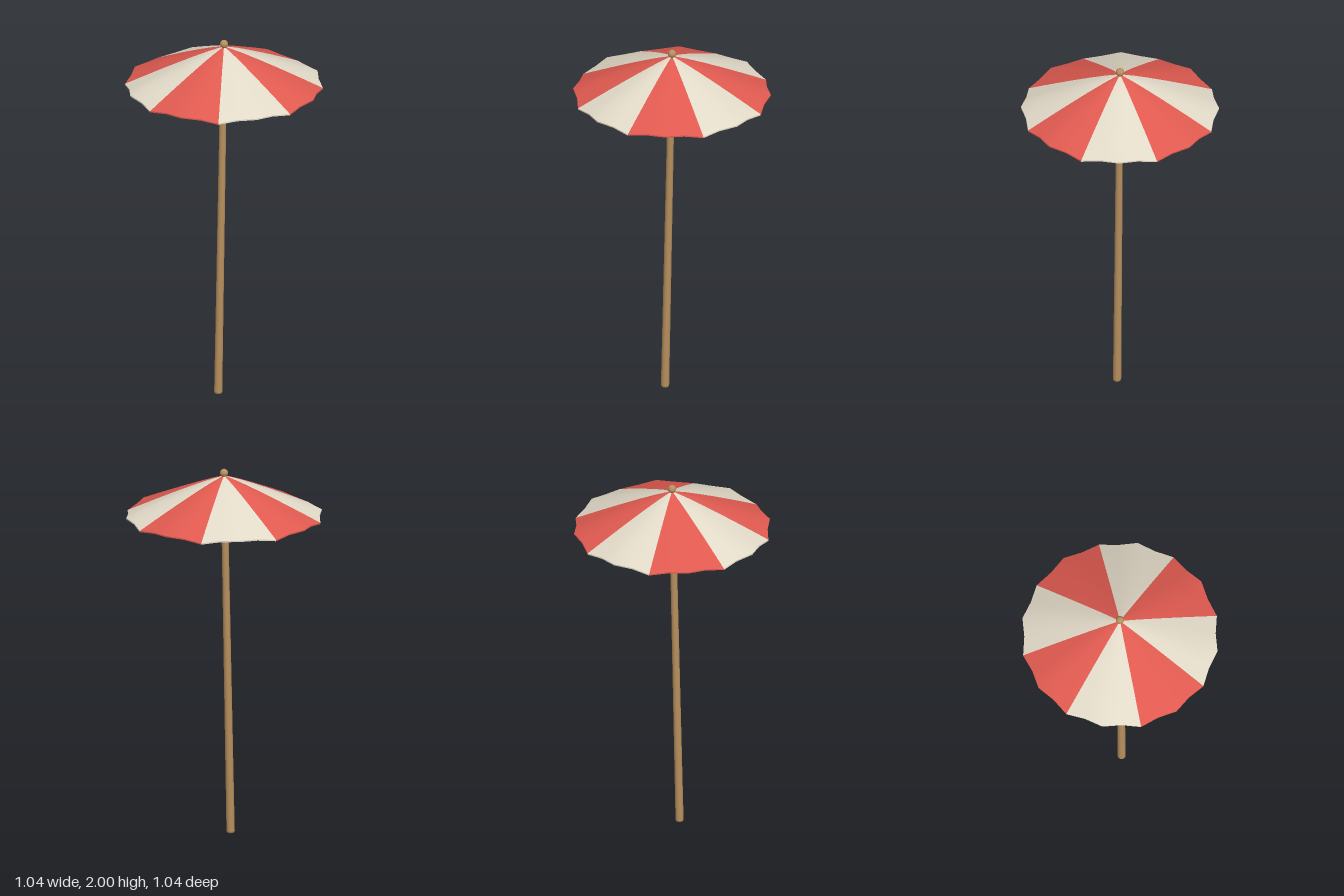
import * as THREE from 'three';
import { mergeGeometries } from 'three/addons/utils/BufferGeometryUtils.js';

const SEGMENTS = 4; // angular steps in one panel
const ROWS = 6;
const PANELS = 8;
const THICKNESS = 0.007;

// Point on the canopy: t runs from the crown to the rim, step counts round it
function canopyPoint(t, step, drop) {
  const a = (step / (SEGMENTS * PANELS)) * Math.PI * 2;
  const scallop = step % 2 ? 0.018 : 0;
  const r = 0.003 + t * (0.519 - scallop * t * t);
  const swell = Math.sin(((step % SEGMENTS) / SEGMENTS) * Math.PI);
  const y = 1.964 - 0.225 * Math.pow(t, 1.1) + 0.016 * swell * Math.pow(t, 1.5);
  return [r * Math.cos(a), y - drop, r * Math.sin(a)];
}

// Strip of one panel through a list of [t, drop] rows
function panelStrip(panel, rows) {
  const positions = [], index = [], w = SEGMENTS + 1;
  rows.forEach(([t, drop], i) => {
    for (let j = 0; j < w; j++) {
      positions.push(...canopyPoint(t, panel * SEGMENTS + j, drop));
      if (i < rows.length - 1 && j < SEGMENTS) {
        const p = i * w + j;
        index.push(p, p + 1, p + w, p + 1, p + w + 1, p + w);
      }
    }
  });
  const g = new THREE.BufferGeometry();
  g.setAttribute('position', new THREE.Float32BufferAttribute(positions, 3));
  g.setIndex(index);
  g.computeVertexNormals();
  return g;
}

export function createModel() {
  const material = (name, color) => {
    const m = new THREE.MeshStandardMaterial({ color });
    m.name = name;
    return m;
  };
  const red = material('red cloth', 0xe05a50);
  const cream = material('cream cloth', 0xe2dac8);
  const wood = material('wood', 0xb8905e);

  const model = new THREE.Group();
  model.name = 'parasol';

  // Scalloped canopy: thin cloth panels with top, hem and underside
  const canopy = new THREE.Group();
  canopy.name = 'canopy';
  const top = Array.from({ length: ROWS + 1 }, (_, i) => [i / ROWS, 0]);
  const hem = [[1, 0], [1, THICKNESS]];
  const underside = top.map(([t]) => [t, THICKNESS]).reverse();
  for (let k = 0; k < PANELS; k++) {
    const g = mergeGeometries([top, hem, underside].map((rows) => panelStrip(k, rows)));
    const panel = new THREE.Mesh(g, k % 2 ? red : cream);
    panel.name = 'canopyPanel' + (k + 1);
    canopy.add(panel);
  }
  model.add(canopy);

  // Slightly leaning, tapered pole with a softened foot
  const profile = [[0, 0], [0.018, 0], [0.022, 0.006], [0.022, 0.012], [0.018, 1.87], [0.018, 1.87], [0, 1.87]];
  const pole = new THREE.Mesh(
    new THREE.LatheGeometry(profile.map(([x, y]) => new THREE.Vector2(x, y)), 12), wood);
  pole.name = 'pole';
  pole.position.set(-0.041, 0.0005, 0);
  pole.rotation.z = -0.021;
  model.add(pole);

  // Ball on the crown
  const finial = new THREE.Mesh(new THREE.SphereGeometry(0.022, 16, 12), wood);
  finial.name = 'finial';
  finial.position.y = 1.978;
  model.add(finial);

  return model;
}
